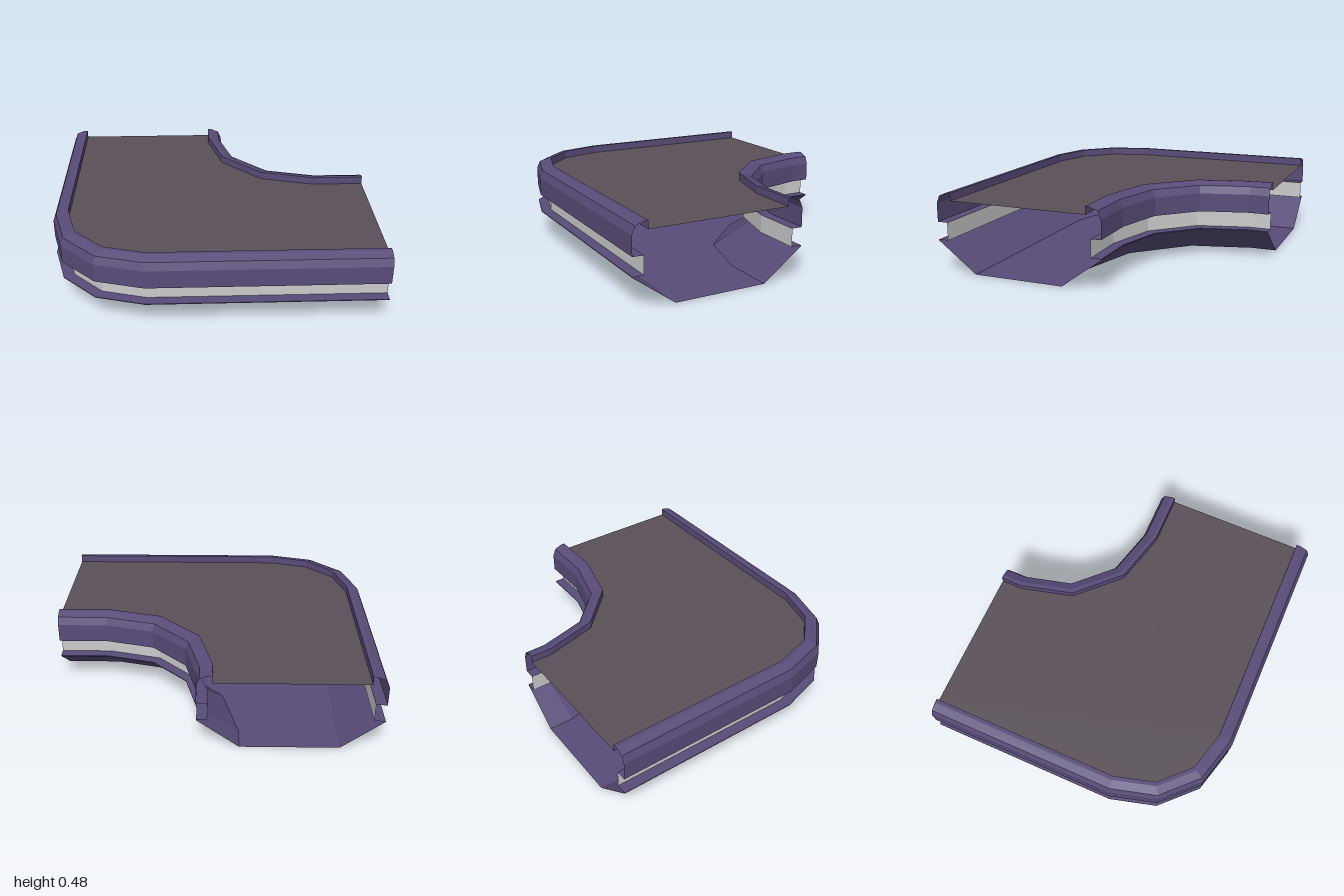
import * as THREE from 'three';

const mat = (color) => new THREE.MeshStandardMaterial({ color, flatShading: true, side: THREE.DoubleSide });
const purple = mat(0x584c78);
const deckMat = mat(0x5a5058);
const grey = mat(0xcccccc);

// Plan outlines [x, z] of the two sides of the bend, from the back end to the +x end
const outer = [[-1, -0.895], [-1, 0.315], [-0.92, 0.605], [-0.71, 0.815], [-0.42, 0.895], [1, 0.895]];
const inner = [[0.09, -0.895], [0.09, -0.77], [0.167, -0.475], [0.385, -0.255], [0.69, -0.175], [1, -0.175]];

// Shift an outline sideways by d with mitred corners
function offset(path, d) {
  const normals = path.slice(1).map(([x, z], i) => {
    const dx = x - path[i][0], dz = z - path[i][1], l = Math.hypot(dx, dz);
    return [dz / l, -dx / l];
  });
  return path.map(([x, z], i) => {
    const a = normals[Math.max(i - 1, 0)], b = normals[Math.min(i, normals.length - 1)];
    const k = d / (1 + a[0] * b[0] + a[1] * b[1]);
    return [x + (a[0] + b[0]) * k, z + (a[1] + b[1]) * k];
  });
}

// Sweep a profile of [inset, height] points along an outline
function sweep(path, side, profile) {
  const rows = profile.map(([d, y]) => offset(path, d * side).map(([x, z]) => [x, y, z]));
  const pos = [];
  for (let r = 0; r < rows.length - 1; r++) {
    for (let i = 0; i < path.length - 1; i++) {
      const a = rows[r][i], b = rows[r][i + 1], c = rows[r + 1][i + 1], e = rows[r + 1][i];
      const quad = side > 0 ? [a, b, c, a, c, e] : [a, c, b, a, e, c];
      pos.push(...quad.flat());
    }
  }
  const geo = new THREE.BufferGeometry();
  geo.setAttribute('position', new THREE.Float32BufferAttribute(pos, 3));
  geo.computeVertexNormals();
  return geo;
}

// Flat sheet between both sides at height y
function sheet(inset, y, up) {
  const pts = [...offset(outer, inset), ...offset(inner, -inset).reverse()];
  const geo = new THREE.ShapeGeometry(new THREE.Shape(pts.map(([x, z]) => new THREE.Vector2(x, up ? -z : z))));
  return geo.rotateX(up ? -Math.PI / 2 : Math.PI / 2).translate(0, y, 0);
}

export function createModel() {
  const group = new THREE.Group();
  const add = (name, geo, material) => {
    const mesh = new THREE.Mesh(geo, material);
    mesh.name = name;
    group.add(mesh);
  };

  // Curb, recessed band and sloping hull on each side
  const curb = [[0.065, 0.3], [0, 0.3], [0, 0.415], [0.02, 0.462], [0.07, 0.483], [0.095, 0.483], [0.095, 0.435]];
  const band = [[0.065, 0.19], [0.065, 0.3]];
  const hull = [[0.25, 0], [0, 0.185], [0, 0.19], [0.065, 0.19]];
  for (const [label, path, side] of [['outer', outer, 1], ['inner', inner, -1]]) {
    add(label + 'Curb', sweep(path, side, curb), purple);
    add(label + 'Band', sweep(path, side, band), grey);
    add(label + 'Hull', sweep(path, side, hull), purple);
  }

  // Walking deck and flat underside
  add('deck', sheet(0.095, 0.435, true), deckMat);
  add('underside', sheet(0.25, 0, false), purple);
  return group;
}
